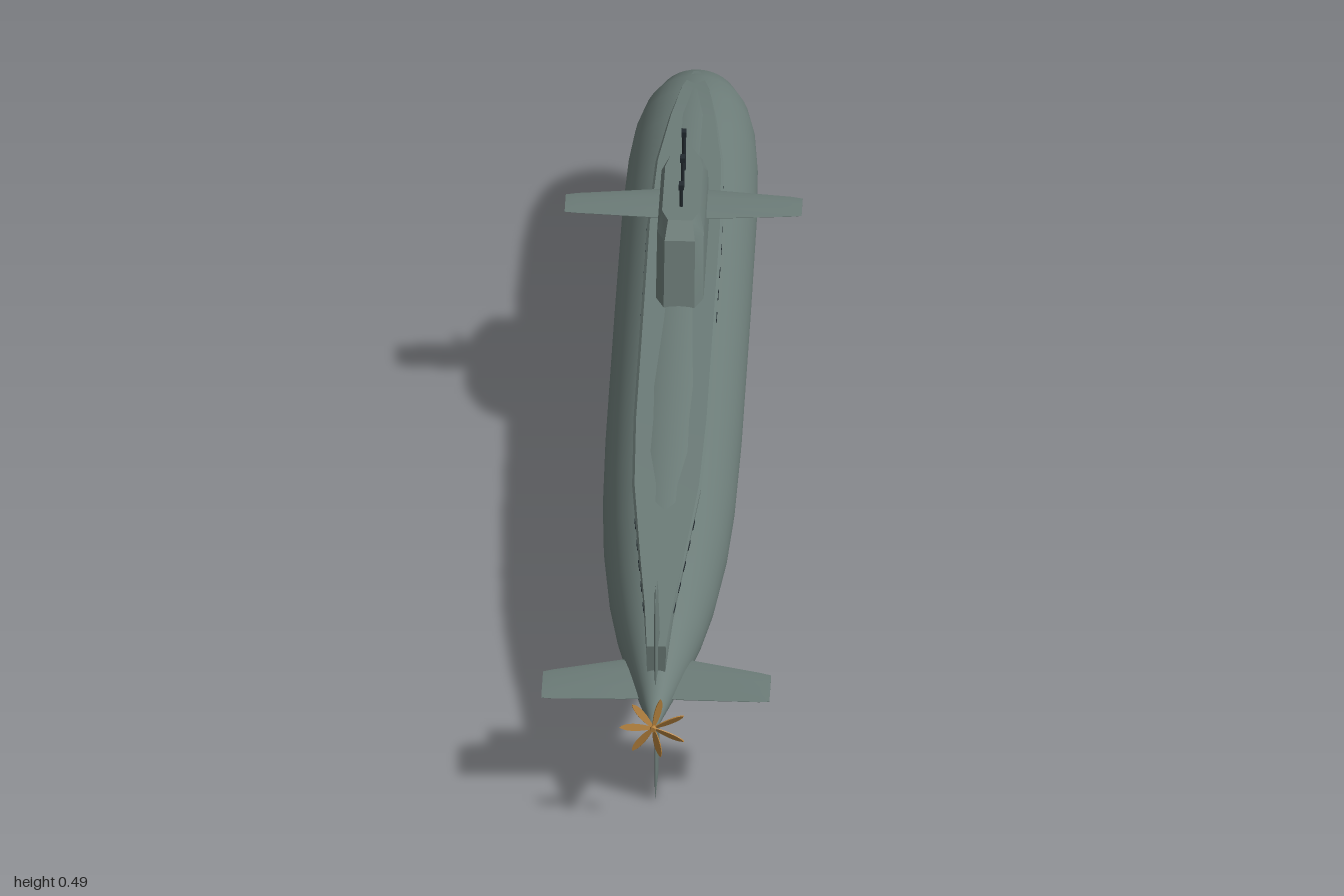
import * as THREE from 'three';
import { toCreasedNormals } from 'three/addons/utils/BufferGeometryUtils.js';

// Closed solid skinned through equal-length loops of [x, y, z] points
function loft(loops, crease = 0.5) {
  const n = loops[0].length, last = (loops.length - 1) * n;
  const p = loops.flat(2), idx = [];
  for (let i = 0; i < loops.length - 1; i++) {
    for (let j = 0; j < n; j++) {
      const a = i * n + j, b = i * n + (j + 1) % n;
      idx.push(a, b, b + n, a, b + n, a + n);
    }
  }
  for (let j = 1; j < n - 1; j++) idx.push(0, j + 1, j, last, last + j, last + j + 1);
  // Turn the faces outward if the enclosed volume is negative
  const v = k => new THREE.Vector3(p[k * 3], p[k * 3 + 1], p[k * 3 + 2]);
  let volume = 0;
  for (let i = 0; i < idx.length; i += 3) volume += v(idx[i]).dot(v(idx[i + 1]).cross(v(idx[i + 2])));
  if (volume < 0) idx.reverse();
  const g = new THREE.BufferGeometry();
  g.setAttribute('position', new THREE.Float32BufferAttribute(p, 3));
  g.setIndex(idx);
  return toCreasedNormals(g, crease);
}

// Tapered foil pointing along +x: each station is [x, leading z, trailing z, half thickness]
function foil(stations) {
  const outline = [[0, 0], [0.12, 0.7], [0.35, 1], [0.7, 0.6], [1, 0.08], [1, -0.08], [0.7, -0.6], [0.35, -1], [0.12, -0.7]];
  return loft(stations.map(([x, z0, z1, t]) => outline.map(([c, h]) => [x, h * t, z0 + (z1 - z0) * c])), 0.7);
}

export function createModel() {
  const model = new THREE.Group();
  model.name = 'submarine';
  const grey = new THREE.MeshStandardMaterial({ name: 'hull grey', color: 0x6c7c78 });
  const dark = new THREE.MeshStandardMaterial({ name: 'mast dark', color: 0x232b30 });
  const bronze = new THREE.MeshStandardMaterial({ name: 'propeller bronze', color: 0xb8843e });
  bronze.side = THREE.DoubleSide;
  const add = (name, geometry, material, parent = model) => {
    const mesh = new THREE.Mesh(geometry, material);
    mesh.name = name;
    parent.add(mesh);
    return mesh;
  };
  const axisY = z => 0.19 - 0.007 * z;

  // Pressure hull: bow at -z, tapered stern at +z
  const profile = [[0, -1], [0.022, -0.995], [0.044, -0.98], [0.067, -0.95], [0.085, -0.9], [0.096, -0.84],
    [0.103, -0.75], [0.107, -0.6], [0.108, -0.3], [0.108, 0.1], [0.105, 0.3], [0.098, 0.45], [0.084, 0.6],
    [0.068, 0.71], [0.05, 0.8], [0.027, 0.9], [0.012, 0.965], [0.007, 0.99], [0, 0.992]];
  const hull = new THREE.LatheGeometry(profile.map(([r, z]) => new THREE.Vector2(r, z)), 40);
  hull.rotateX(Math.PI / 2);
  const pos = hull.attributes.position;
  for (let i = 0; i < pos.count; i++) pos.setY(i, pos.getY(i) + axisY(pos.getZ(i)));
  add('hull', hull, grey);

  // Deck casing: [z, half width, top y]
  const deck = [[-0.93, 0.006, 0.272], [-0.85, 0.022, 0.291], [-0.75, 0.037, 0.297], [-0.6, 0.054, 0.3],
    [-0.4, 0.06, 0.3], [-0.1, 0.06, 0.296], [0.2, 0.06, 0.291], [0.4, 0.055, 0.286], [0.6, 0.038, 0.276],
    [0.75, 0.024, 0.267], [0.87, 0.016, 0.261]];
  add('deckCasing', loft(deck.map(([z, w, y]) => [
    [-w, y - 0.004, z], [-w * 0.93, y, z], [w * 0.93, y, z], [w, y - 0.004, z],
    [w * 0.88, y - 0.055, z], [-w * 0.88, y - 0.055, z]])), grey);

  // Flood slots along both casing walls
  const slots = new THREE.Group();
  slots.name = 'floodSlots';
  model.add(slots);
  const deckAt = z => {
    const i = Math.max(1, deck.findIndex(s => s[0] >= z));
    const [a, b] = [deck[i - 1], deck[i]], t = (z - a[0]) / (b[0] - a[0]);
    return { w: a[1] + (b[1] - a[1]) * t, y: a[2] + (b[2] - a[2]) * t, turn: (b[1] - a[1]) / (b[0] - a[0]) };
  };
  for (const z of [-0.55, -0.48, -0.41, -0.34, -0.27, -0.2, -0.13, 0.5, 0.56, 0.62, 0.68, 0.74]) {
    const d = deckAt(z);
    for (const side of [-1, 1]) {
      const slot = add('floodSlot', new THREE.BoxGeometry(0.003, 0.004, 0.028), dark, slots);
      slot.position.set(side * (d.w - 0.001), d.y - 0.011, z);
      slot.rotation.y = side * Math.atan(d.turn);
    }
  }

  // Sail: [y, front z, aft z, half width]
  const sail = [[0.27, -0.475, -0.132, 0.038], [0.4, -0.455, -0.172, 0.037], [0.425, -0.425, -0.195, 0.03]];
  add('sail', loft(sail.map(([y, f, a, w]) => {
    const half = [[0.38 * w, f], [0.75 * w, f + 0.025], [w, f + 0.06], [w, a - 0.03], [0.65 * w, a]];
    return [...half.map(([x, z]) => [x, y, z]), ...half.reverse().map(([x, z]) => [-x, y, z])];
  }), 0.4), grey);

  // Sail planes and stern planes, mirrored left and right
  const sailPlane = foil([[0, -0.4, -0.3, 0.007], [0.036, -0.395, -0.303, 0.006], [0.17, -0.377, -0.314, 0.003], [0.188, -0.372, -0.317, 0.001]]);
  const sternPlane = foil([[0, 0.76, 0.9, 0.007], [0.05, 0.778, 0.905, 0.006], [0.165, 0.815, 0.907, 0.003], [0.181, 0.822, 0.905, 0.001]]);
  for (const [side, label] of [[1, 'left'], [-1, 'right']]) {
    const turn = side > 0 ? 0 : Math.PI;
    const planes = [[sailPlane, 'SailPlane', 0.366, -0.695], [sternPlane, 'SternPlane', 0.184, 0]];
    for (const [geometry, name, y] of planes) {
      // Half a turn about y plus a chord flip keeps the leading edge forward
      let g = geometry.clone();
      if (turn) {
        const q = g.attributes.position, m = g.attributes.normal;
        g.rotateZ(turn);
        q.needsUpdate = m.needsUpdate = true;
      }
      add(label + name, g, grey).position.y = y;
    }
  }

  // Upper and lower rudders
  const rudder = foil([[0, 0.765, 0.9, 0.006], [0.06, 0.785, 0.909, 0.005], [0.165, 0.825, 0.912, 0.003], [0.179, 0.832, 0.909, 0.001]]);
  for (const [name, dir] of [['upperRudder', 1], ['lowerRudder', -1]]) {
    const mesh = add(name, rudder, grey);
    mesh.rotation.z = dir * Math.PI / 2;
    mesh.position.y = 0.184;
  }

  // Masts on top of the sail
  [[-0.24, 0.465], [-0.3, 0.48], [-0.355, 0.495]].forEach(([z, top], i) => {
    const mast = new THREE.Group();
    mast.name = 'mast' + (i + 1);
    mast.position.z = z;
    model.add(mast);
    add('mastTube', new THREE.CylinderGeometry(0.003, 0.003, top - 0.41, 8), dark, mast).position.y = (top + 0.41) / 2 - 0.002;
    add('mastHead', new THREE.BoxGeometry(0.008, 0.009, 0.014), dark, mast).position.set(0, top - 0.0045, -0.003);
  });

  // Seven-bladed propeller
  const propeller = new THREE.Group();
  propeller.name = 'propeller';
  propeller.position.set(0, 0.183, 0.993);
  model.add(propeller);
  const hub = add('propellerHub', new THREE.CylinderGeometry(0.004, 0.007, 0.014, 12), bronze, propeller);
  hub.rotation.x = Math.PI / 2;
  const outline = new THREE.Shape();
  outline.moveTo(0.003, -0.002);
  outline.bezierCurveTo(0.02, -0.007, 0.045, -0.009, 0.054, 0);
  outline.bezierCurveTo(0.045, 0.007, 0.02, 0.006, 0.003, 0.002);
  const blade = new THREE.ExtrudeGeometry(outline, { depth: 0.002, bevelEnabled: false, curveSegments: 8 });
  blade.translate(0, 0, -0.001);
  blade.rotateX(0.45);
  for (let i = 0; i < 7; i++) {
    add('propellerBlade', blade, bronze, propeller).rotation.z = Math.PI + i * Math.PI * 2 / 7;
  }
  return model;
}
